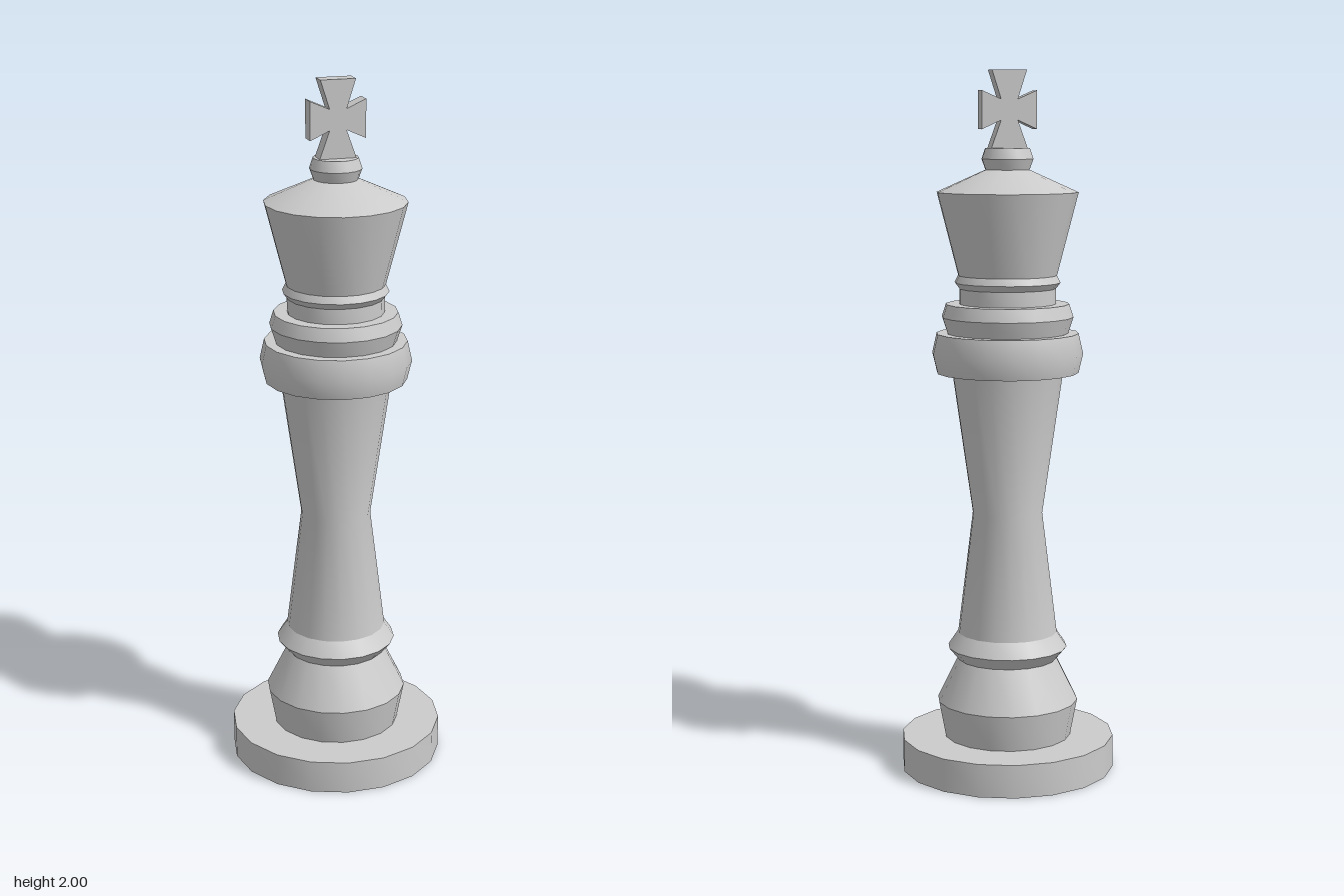
import * as THREE from 'three';
import { toCreasedNormals } from 'three/addons/utils/BufferGeometryUtils.js';

const SIDES = 18;
const material = new THREE.MeshStandardMaterial({ color: 0xcccccc });

// Closed turned part from [radius, height] pairs, listed bottom to top
function turned(name, profile) {
  const bottom = profile[0][1];
  const top = profile[profile.length - 1][1];
  const points = [[0, bottom], ...profile, [0, top]].map(([r, y]) => new THREE.Vector2(r, y));
  const lathe = new THREE.LatheGeometry(points, SIDES, Math.PI / 2);
  const mesh = new THREE.Mesh(toCreasedNormals(lathe, 0.6), material);
  mesh.name = name;
  return mesh;
}

// Flared cross, mirrored from its right-hand outline
function cross() {
  const right = [[0.052, 1.785], [0.024, 1.862], [0.079, 1.837], [0.079, 1.944], [0.024, 1.92], [0.05, 2]];
  const left = right.map(([x, y]) => [-x, y]).reverse();
  const shape = new THREE.Shape([...right, ...left].map(([x, y]) => new THREE.Vector2(x, y)));
  const depth = 0.047;
  const geometry = new THREE.ExtrudeGeometry(shape, { depth, bevelEnabled: false });
  geometry.translate(0, 0, -depth / 2);
  const mesh = new THREE.Mesh(geometry, material);
  mesh.name = 'cross';
  return mesh;
}

export function createModel() {
  const model = new THREE.Group();
  model.name = 'chessKing';
  model.add(
    // Foot
    turned('base', [[0.307, 0], [0.307, 0.095]]),
    turned('lowerBulge', [[0.183, 0.095], [0.203, 0.2], [0.143, 0.322]]),
    turned('lowerRing', [[0.143, 0.322], [0.172, 0.357], [0.143, 0.4]]),
    // Waisted column
    turned('column', [[0.143, 0.4], [0.1, 0.75], [0.158, 1.155]]),
    // Collars and neck
    turned('largeCollar', [[0.202, 1.155], [0.215, 1.21], [0.202, 1.267]]),
    turned('smallCollar', [[0.172, 1.267], [0.187, 1.313], [0.175, 1.35]]),
    turned('neck', [[0.137, 1.35], [0.137, 1.393]]),
    turned('neckRing', [[0.137, 1.393], [0.15, 1.41], [0.14, 1.43]]),
    // Flared head with sloping crown
    turned('head', [[0.14, 1.43], [0.2, 1.663], [0.062, 1.725]]),
    turned('finial', [[0.062, 1.725], [0.073, 1.755], [0.063, 1.785]]),
    cross()
  );
  return model;
}
